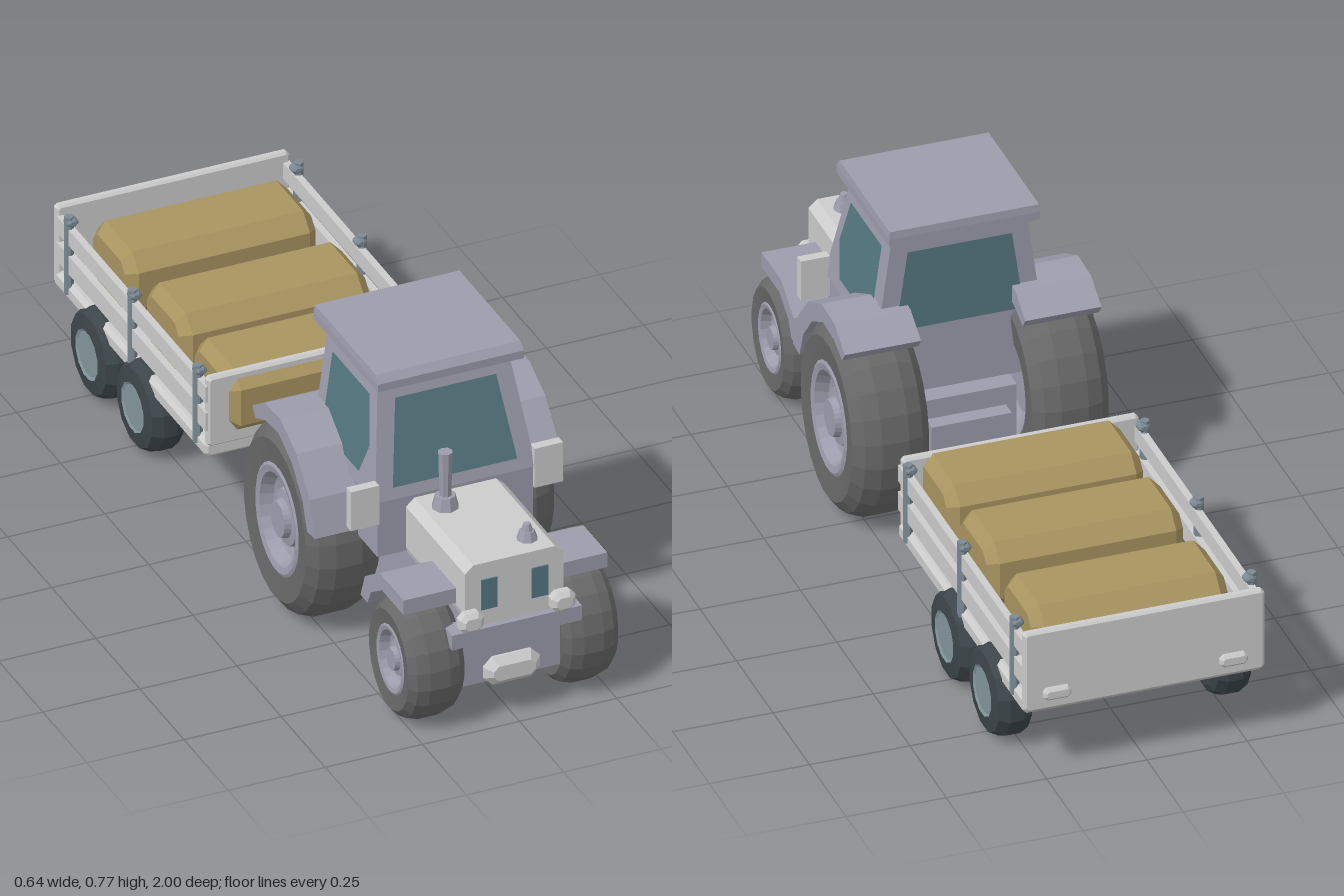
import * as THREE from 'three';

const mat = (color) => new THREE.MeshStandardMaterial({ color, flatShading: true, side: THREE.DoubleSide });

export function createModel() {
  const model = new THREE.Group();
  const grey = mat(0xcccccc), body = mat(0x9c9cac), rubber = mat(0x686868), glass = mat(0x557780);
  const straw = mat(0xa89460), steel = mat(0x7c8a94), darkRubber = mat(0x3c454a), hubGrey = mat(0x82959a);

  const add = (name, geo, material, parent = model) => {
    const m = new THREE.Mesh(geo, material);
    m.name = name;
    parent.add(m);
    return m;
  };
  const group = (name) => {
    const g = new THREE.Group();
    g.name = name;
    model.add(g);
    return g;
  };
  // Box given by its limits on each axis
  const box = (x0, x1, y0, y1, z0, z1) =>
    new THREE.BoxGeometry(x1 - x0, y1 - y0, z1 - z0).translate((x0 + x1) / 2, (y0 + y1) / 2, (z0 + z1) / 2);
  // Box whose top has its own half width and z range
  const frustum = (y0, hx0, back0, front0, y1, hx1, back1, front1) => {
    const g = new THREE.BoxGeometry(2, 2, 2), p = g.attributes.position;
    for (let i = 0; i < p.count; i++) {
      const top = p.getY(i) > 0, front = p.getZ(i) > 0;
      p.setXYZ(i, p.getX(i) * (top ? hx1 : hx0), top ? y1 : y0,
        top ? (front ? front1 : back1) : (front ? front0 : back0));
    }
    return g;
  };
  const shapeOf = (pts) => new THREE.Shape(pts.map(([a, b]) => new THREE.Vector2(a, b)));
  const octagon = (w, h, c) => {
    const a = w / 2, b = h / 2;
    return shapeOf([[-a + c, -b], [a - c, -b], [a, -b + c], [a, b - c], [a - c, b], [-a + c, b], [-a, b - c], [-a, -b + c]]);
  };
  // Box with every edge chamfered, centred on the origin
  const chamferBox = (w, h, d, c, bevel = c) =>
    new THREE.ExtrudeGeometry(octagon(w - 2 * bevel, h - 2 * bevel, c * 0.7), {
      depth: d - 2 * bevel, bevelThickness: bevel, bevelSize: bevel, bevelSegments: 1,
    }).translate(0, 0, bevel - d / 2);
  // Side profile of [z, y] points extruded from x0 to x1
  const sideExtrude = (pts, x0, x1) =>
    new THREE.ExtrudeGeometry(shapeOf(pts), { depth: x1 - x0, bevelEnabled: false })
      .rotateY(-Math.PI / 2).translate(x1, 0, 0);
  // Band of even thickness below a [z, y] line
  const band = (line, offset) => [...line, ...line.map(([z, y], i) => [z + offset[i][0], y + offset[i][1]]).reverse()];
  // Flat pane whose corners are placed by a rule
  const pane = (pts, place) => {
    const g = new THREE.ShapeGeometry(shapeOf(pts)), p = g.attributes.position;
    for (let i = 0; i < p.count; i++) p.setXYZ(i, ...place(p.getX(i), p.getY(i)));
    g.computeVertexNormals();
    return g;
  };
  // Wheel of revolution from [radius, axial] profiles in unit size
  const wheel = (name, side, x, z, ry, rz, half, segments, parts) => {
    const g = group(name);
    for (const [part, profile, material] of parts) {
      const geo = new THREE.LatheGeometry(profile.map(([r, a]) => new THREE.Vector2(r, a)), segments)
        .rotateY(Math.PI / segments).rotateZ(-side * Math.PI / 2).scale(half, ry, rz);
      add(part, geo, material, g);
    }
    g.position.set(side * x, ry, z);
  };

  // Chassis, hood and nose
  add('chassis', box(-0.127, 0.127, 0.1, 0.3, 0.24, 0.95), body);
  add('rearHousing', frustum(0.1, 0.1, 0.2, 0.3, 0.25, 0.1, 0.2, 0.3), body);
  add('hood', new THREE.ExtrudeGeometry(
    shapeOf([[-0.115, 0.27], [0.115, 0.27], [0.127, 0.31], [0.127, 0.42], [0.105, 0.44], [-0.105, 0.44], [-0.127, 0.42], [-0.127, 0.31]]),
    { depth: 0.34, bevelEnabled: false }).translate(0, 0, 0.63), grey);
  add('bumper', box(-0.167, 0.167, 0.23, 0.27, 0.93, 0.985), body);
  add('frontWeight', chamferBox(0.144, 0.075, 0.08, 0.018).translate(0, 0.128, 0.935), grey);

  // Exhaust and air intake
  const exhaust = group('exhaust');
  add('exhaustBase', new THREE.CylinderGeometry(0.025, 0.034, 0.035, 8).translate(-0.055, 0.455, 0.7), body, exhaust);
  add('exhaustPipe', new THREE.CylinderGeometry(0.018, 0.015, 0.12, 8).translate(-0.055, 0.53, 0.7), body, exhaust);
  const intake = group('airIntake');
  add('intakeBase', new THREE.CylinderGeometry(0.018, 0.027, 0.025, 8).translate(0.06, 0.45, 0.91), body, intake);
  add('intakeCap', new THREE.CylinderGeometry(0.009, 0.015, 0.022, 8).translate(0.06, 0.47, 0.91), body, intake);

  // Cab
  add('cabLower', box(-0.2, 0.2, 0.3, 0.45, 0.29, 0.635), body);
  add('cabFloor', box(-0.127, 0.127, 0.1, 0.3, 0.285, 0.67), body);
  add('cabUpper', frustum(0.45, 0.207, 0.285, 0.638, 0.735, 0.168, 0.285, 0.565), body);
  add('roofRim', box(-0.188, 0.188, 0.735, 0.756, 0.247, 0.61), body);
  add('roofTop', frustum(0.756, 0.188, 0.247, 0.61, 0.775, 0.186, 0.249, 0.595), body);
  const slope = (y) => (0.735 - y) / 0.285;
  const endPane = [[-0.16, 0.48], [0.16, 0.48], [0.13, 0.69], [-0.13, 0.69]];
  add('windscreen', pane(endPane, (x, y) => [x, y, 0.569 + 0.073 * slope(y)]), glass);
  add('rearWindow', pane(endPane, (x, y) => [x, y, 0.281]), glass);

  const tyre = [[0.5, -0.9], [0.82, -1], [0.94, -0.75], [1, -0.35], [1, 0.35], [0.94, 0.75], [0.82, 1], [0.57, 0.93]];
  const rim = [[0, -0.6], [0.3, -0.6], [0.5, -0.9], [0.58, 0.92], [0.54, 0.97], [0.47, 0.93], [0.42, 0.6],
    [0.31, 0.5], [0.28, 0.72], [0.2, 0.75], [0.18, 0.92], [0, 0.92]];
  const tractorWheel = [['tyre', tyre, rubber], ['rim', rim, body]];
  const cartWheel = [
    ['tyre', [[0, -0.9], [0.75, -0.9], [0.9, -0.75], [1, -0.3], [1, 0.4], [0.88, 0.9], [0.55, 1]], darkRubber],
    ['hub', [[0.56, 1], [0.5, 0.92], [0, 0.92]], hubGrey],
  ];

  // Mirrored tractor parts
  for (const s of [1, -1]) {
    const span = (a, b) => (s > 0 ? [a, b] : [-b, -a]);
    const label = s > 0 ? 'left' : 'right';
    add(label + 'SideWindow', pane(
      [[0.54, 0.69], [0.33, 0.69], [0.33, 0.53], [0.37, 0.485], [0.54, 0.485], [0.575, 0.57]],
      (z, y) => [s * (0.171 + 0.039 * slope(y)), y, z]), glass);
    add(label + 'Mirror', box(...span(0.2, 0.273), 0.395, 0.502, 0.62, 0.645), grey);
    add(label + 'Headlight', chamferBox(0.062, 0.052, 0.04, 0.011).translate(s * 0.118, 0.296, 0.98), grey);
    add(label + 'Grille', box(...span(0.044, 0.086), 0.313, 0.395, 0.96, 0.973), glass);

    // Fenders
    add(label + 'RearFender', sideExtrude(band(
      [[0.545, 0.33], [0.515, 0.42], [0.44, 0.505], [0.35, 0.55], [0.26, 0.545], [0.19, 0.5]],
      [[-0.045, -0.005], [-0.04, -0.025], [-0.025, -0.04], [-0.01, -0.045], [0.005, -0.045], [0.018, -0.025]],
    ), ...span(0.13, 0.32)), body);
    add(label + 'FrontFender', sideExtrude(band(
      [[0.92, 0.355], [0.785, 0.355], [0.7, 0.3], [0.675, 0.235]],
      [[0, -0.04], [0.012, -0.04], [0.035, -0.025], [0.04, 0]],
    ), ...span(0.12, 0.262)), body);

    // Wheels
    wheel(label + 'RearWheel', s, 0.224, 0.316, 0.255, 0.215, 0.096, 24, tractorWheel);
    wheel(label + 'FrontWheel', s, 0.198, 0.853, 0.158, 0.136, 0.0725, 20, tractorWheel);
    for (const z of [-0.49, -0.75])
      wheel(label + 'TrailerWheel', s, 0.27, z, 0.115, 0.117, 0.05, 12, cartWheel);

    // Trailer side rails and posts
    add(label + 'LowerRail', box(...span(0.282, 0.3), 0.25, 0.3, -0.975, -0.12), grey);
    add(label + 'UpperRail', box(...span(0.282, 0.3), 0.328, 0.372, -0.975, -0.12), grey);
    for (const z of [-0.175, -0.545, -0.905])
      add(label + 'RailPost', new THREE.CylinderGeometry(0.012, 0.012, 0.21, 6).translate(s * 0.295, 0.298, z), steel);
    for (const z of [-0.545, -0.905, -0.175])
      add(label + 'PostCap', chamferBox(0.03, 0.022, 0.03, 0.006).translate(s * 0.29, 0.388, z), steel);
    add(label + 'TailLatch', chamferBox(0.07, 0.032, 0.025, 0.007).translate(s * 0.22, 0.227, -0.9875), grey);
  }

  // Tow bar
  add('towBar', new THREE.CylinderGeometry(0.024, 0.024, 0.51, 8).rotateX(Math.PI / 2).translate(0, 0.133, -0.067), steel);

  // Trailer bed and end boards
  add('trailerBed', chamferBox(0.6, 0.045, 0.86, 0.008).translate(0, 0.197, -0.55), grey);
  add('frontBoard', chamferBox(0.59, 0.19, 0.024, 0.006).translate(0, 0.3, -0.128), grey);
  add('tailBoard', chamferBox(0.6, 0.215, 0.024, 0.006).translate(0, 0.29, -0.974), grey);

  // Straw bales
  for (const z of [-0.21, -0.483, -0.788])
    add('strawBale', chamferBox(0.23, 0.175, 0.49, 0.035, 0.025).rotateY(Math.PI / 2).translate(0, 0.307, z), straw);

  return model;
}
